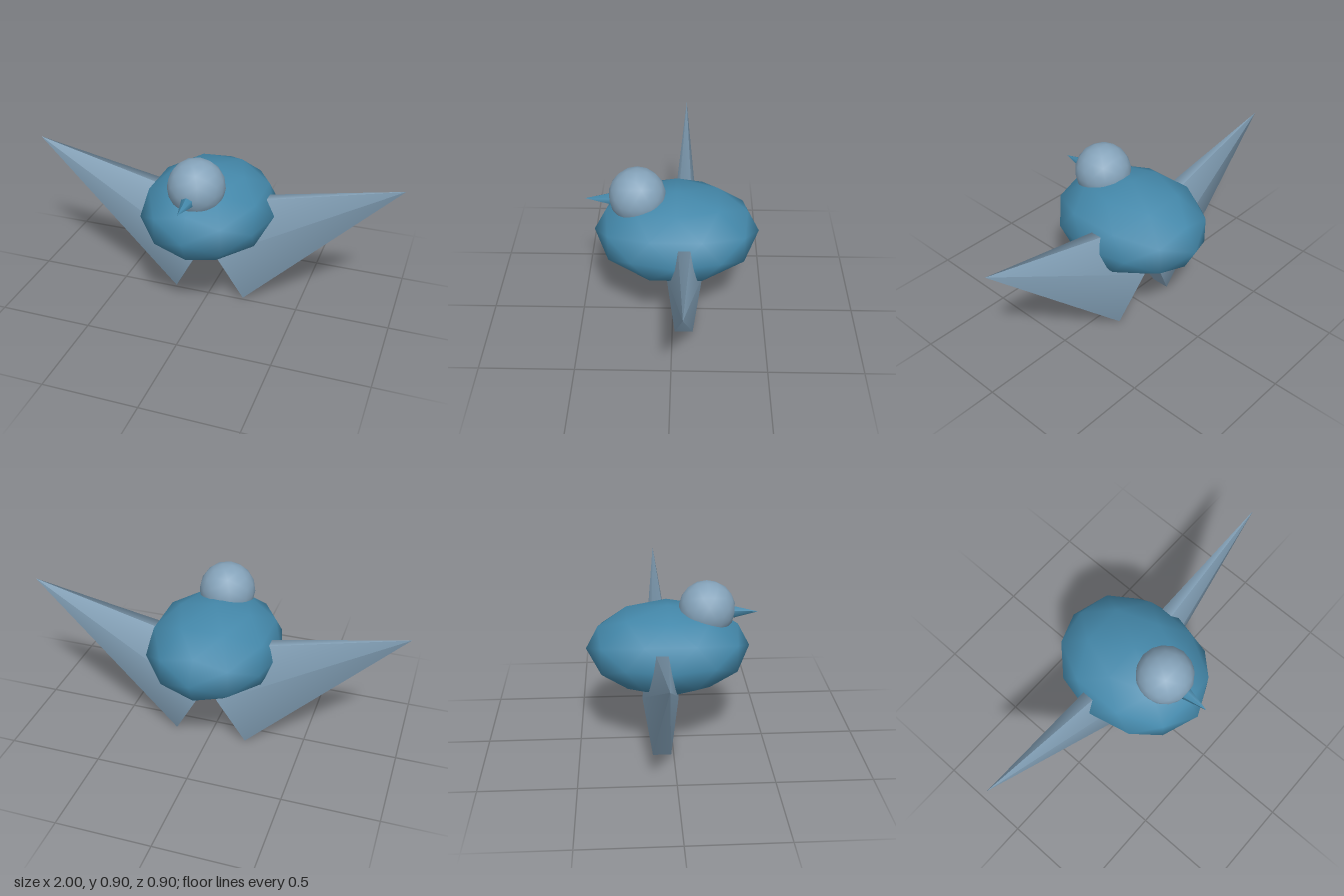
import * as THREE from 'three';

const deepBlue = new THREE.MeshStandardMaterial({ color: 0x4488aa });
const paleBlue = new THREE.MeshStandardMaterial({ color: 0x85a3ba });

function addPart(parent, name, geometry, material, position, scale = [1, 1, 1]) {
  const mesh = new THREE.Mesh(geometry, material);
  mesh.name = name;
  mesh.position.set(...position);
  mesh.scale.set(...scale);
  parent.add(mesh);
  return mesh;
}

export function createModel() {
  const bird = new THREE.Group();
  bird.name = 'bird';

  // Stretched low-poly ball for the body
  addPart(bird, 'body', new THREE.IcosahedronGeometry(1, 1), deepBlue,
    [0, 0.544, -0.02], [0.355, 0.234, 0.432]);

  // Rounder head set on the front of the back
  addPart(bird, 'head', new THREE.IcosahedronGeometry(0.148, 2), paleBlue, [0, 0.755, 0.183]);

  // Six-sided beak pointing forward
  const beak = addPart(bird, 'beak', new THREE.ConeGeometry(0.05, 0.2, 6), deepBlue, [0, 0.733, 0.352]);
  beak.rotation.x = Math.PI / 2;

  // Wings: flattened six-sided cones with raised outer tips
  for (const side of [1, -1]) {
    const wing = addPart(bird, side > 0 ? 'leftWing' : 'rightWing',
      new THREE.ConeGeometry(1, 1, 6), paleBlue,
      [side * 0.526, 0.524, -0.0625], [0.353, 1.076, 0.0975]);
    wing.rotation.z = -side * 1.079;
  }

  return bird;
}
